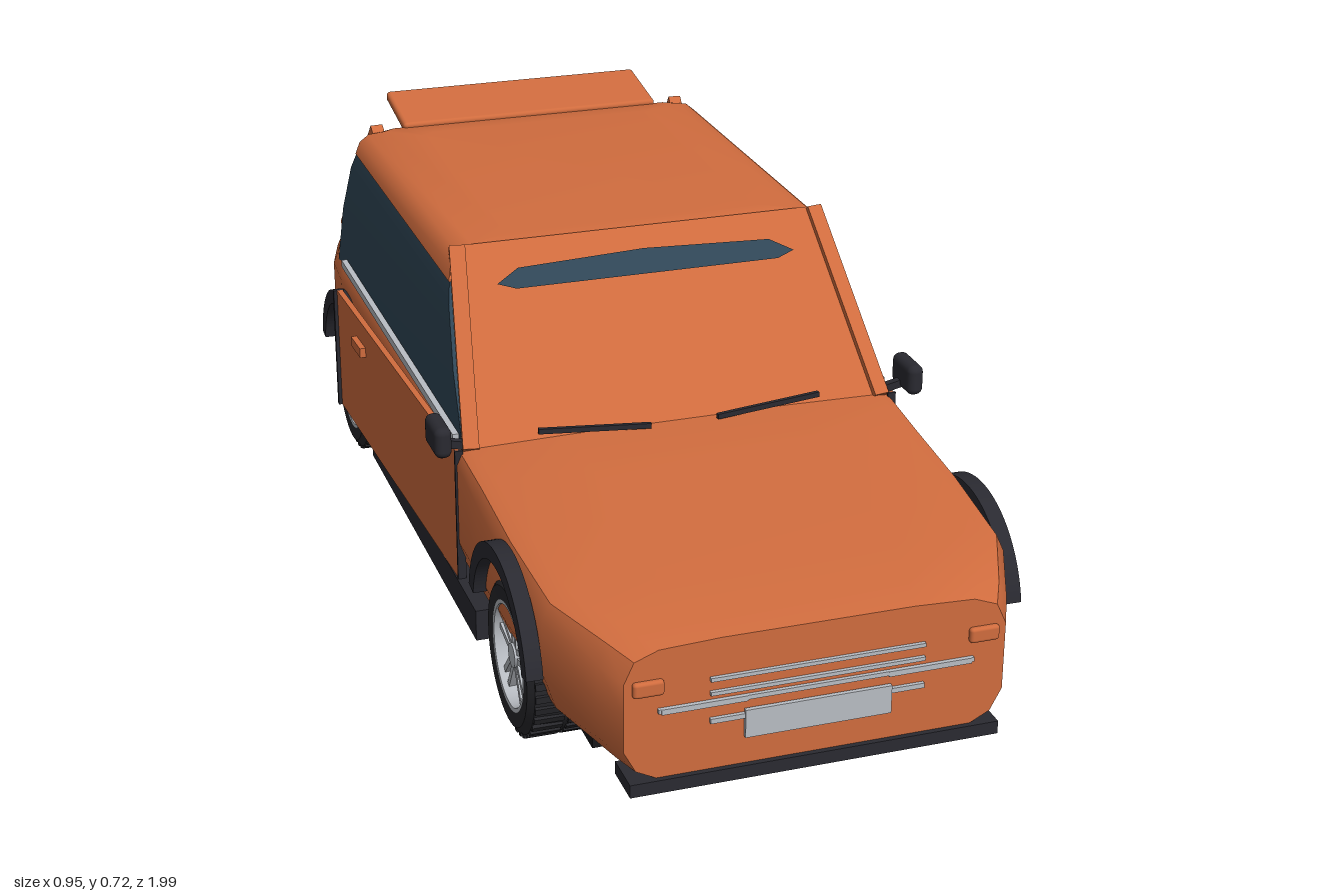
import * as THREE from 'three';
import { toCreasedNormals } from 'three/addons/utils/BufferGeometryUtils.js';
import { RoundedBoxGeometry } from 'three/addons/geometries/RoundedBoxGeometry.js';

function makeMaterial(name, color) {
  const m = new THREE.MeshStandardMaterial({ color, side: THREE.DoubleSide });
  m.name = name;
  return m;
}

export function createModel() {
  const car = new THREE.Group();
  car.name = 'car';
  const paint = makeMaterial('orange paint', 0xd06c3e);
  const glass = makeMaterial('blue glass', 0x2f4656);
  const trim = makeMaterial('dark trim', 0x2a2a31);
  const rubber = makeMaterial('tyre rubber', 0x27272b);
  const under = makeMaterial('underbody black', 0x18181b);
  const chrome = makeMaterial('bright metal', 0xb9bdc3);
  const steel = makeMaterial('brake steel', 0x6c6e74);

  const add = (name, geometry, material, parent = car) => {
    const mesh = new THREE.Mesh(geometry, material);
    mesh.name = name;
    parent.add(mesh);
    return mesh;
  };
  const box = (name, w, h, d, x, y, z, material, parent) => {
    const mesh = add(name, new THREE.BoxGeometry(w, h, d), material, parent);
    mesh.position.set(x, y, z);
    return mesh;
  };
  // Square bar between two points
  const beam = (name, a, b, w, h, material) => {
    const p = new THREE.Vector3(...a), q = new THREE.Vector3(...b);
    const mesh = add(name, new THREE.BoxGeometry(w, h, p.distanceTo(q)), material);
    mesh.position.copy(p).lerp(q, 0.5);
    mesh.lookAt(q);
    return mesh;
  };
  // Closed skin over rings of equal length, each counter-clockwise seen from the last ring
  const loft = (rings, crease = 0.5) => {
    const n = rings[0].length, last = (rings.length - 1) * n, index = [];
    for (let i = 0; i < rings.length - 1; i++) {
      for (let j = 0; j < n; j++) {
        const a = i * n + j, b = i * n + (j + 1) % n;
        index.push(a, b, b + n, a, b + n, a + n);
      }
    }
    for (let j = 1; j < n - 1; j++) index.push(0, j + 1, j, last, last + j, last + j + 1);
    const g = new THREE.BufferGeometry();
    g.setAttribute('position', new THREE.Float32BufferAttribute(rings.flat(2), 3));
    g.setIndex(index);
    return toCreasedNormals(g, crease);
  };

  // Lower body: sections along z as [z, half width, top, bottom, corner]
  const bodyRings = [
    [-0.99, 0.365, 0.38, 0.085, 0.035], [-0.93, 0.388, 0.39, 0.08, 0.035], [-0.82, 0.42, 0.392, 0.075, 0.035],
    [-0.7, 0.43, 0.392, 0.075, 0.03], [0.3, 0.43, 0.392, 0.075, 0.03], [0.42, 0.43, 0.385, 0.075, 0.04],
    [0.6, 0.43, 0.37, 0.075, 0.045], [0.8, 0.42, 0.352, 0.075, 0.05], [0.93, 0.365, 0.338, 0.08, 0.055],
    [0.985, 0.338, 0.328, 0.083, 0.06],
  ].map(([z, w, top, bottom, c]) => {
    const tuck = Math.max(0, w - 0.34) * 0.8;
    const right = [
      [w - c - tuck, bottom], [w - 0.35 * c - tuck * 0.7, bottom + 0.02], [w - tuck * 0.35, bottom + 0.06],
      [w, bottom + 0.13], [w, top - c], [w - 0.3 * c, top - 0.35 * c], [w - c, top - 0.08 * c], [w * 0.5, top],
    ];
    const left = right.map(([x, y]) => [-x, y]).reverse();
    return [...right, ...left].map(([x, y]) => [x, y, z]);
  });
  add('lowerBody', loft(bodyRings, 0.6), paint);

  // Cabin: sections up y as [y, half width, front z, quarter z, rear half width, rear z]
  const cabinRing = ([y, w, zf, zq, wr, zb]) => [
    [w, y, zf], [w, y, zq], [wr, y, zb], [-wr, y, zb], [-w, y, zq], [-w, y, zf],
  ];
  add('cabinGlass', loft([
    [0.375, 0.415, 0.28, -0.79, 0.355, -0.965], [0.5, 0.405, 0.18, -0.765, 0.35, -0.87],
    [0.6, 0.39, 0.1, -0.735, 0.34, -0.785], [0.65, 0.375, 0.055, -0.715, 0.33, -0.745],
  ].map(cabinRing)), glass);
  add('roof', loft([
    [0.636, 0.383, 0.078, -0.715, 0.335, -0.735], [0.662, 0.374, 0.056, -0.712, 0.332, -0.728],
    [0.678, 0.355, 0.043, -0.708, 0.325, -0.718], [0.687, 0.325, 0.03, -0.69, 0.3, -0.705],
    [0.692, 0.25, 0, -0.62, 0.23, -0.64],
  ].map(cabinRing), 0.6), paint);

  // Painted windscreen with a slim glass band
  const screenZ = y => 0.287 - (y - 0.39) * 0.833;
  const screenPlate = (points, lift) => {
    const g = new THREE.ShapeGeometry(new THREE.Shape(points.map(p => new THREE.Vector2(...p))));
    const p = g.attributes.position;
    for (let i = 0; i < p.count; i++) p.setZ(i, screenZ(p.getY(i)) + lift);
    g.computeVertexNormals();
    return g;
  };
  add('windscreenPanel', screenPlate([[-0.4, 0.385], [0.4, 0.385], [0.352, 0.69], [-0.352, 0.69]], 0), paint);
  add('windscreenBand', screenPlate([
    [-0.26, 0.617], [0.26, 0.617], [0.295, 0.627], [0.25, 0.648], [0, 0.656], [-0.25, 0.648], [-0.295, 0.627],
  ], 0.005), glass);

  // Rear spoiler, tail rail and bumpers
  const spoiler = add('rearSpoiler', new RoundedBoxGeometry(0.56, 0.022, 0.165, 2, 0.008), paint);
  spoiler.position.set(0, 0.699, -0.78);
  spoiler.rotation.x = 0.16;
  box('tailRail', 0.71, 0.022, 0.025, 0, 0.385, -0.984, paint);
  box('frontBumper', 0.66, 0.024, 0.08, 0, 0.073, 0.955, trim);
  box('rearBumper', 0.72, 0.028, 0.16, 0, 0.083, -0.915, trim);

  // Front grille, lamps and plates
  const face = 0.988;
  for (const y of [0.255, 0.229]) box('grilleBar', 0.38, 0.007, 0.008, 0, y, face, chrome);
  box('grilleMiddleBar', 0.56, 0.008, 0.008, 0, 0.212, face, chrome);
  for (const s of [-1, 1]) {
    box('grilleSideBar', 0.15, 0.01, 0.01, s * 0.2, 0.211, face, chrome);
    box('grilleLowerBar', 0.06, 0.009, 0.008, s * 0.16, 0.178, face, chrome);
    const lamp = add('frontLamp', new RoundedBoxGeometry(0.054, 0.028, 0.014, 2, 0.006), paint);
    lamp.position.set(s * 0.297, 0.257, face);
  }
  box('frontPlate', 0.26, 0.052, 0.008, 0, 0.164, 0.991, chrome);
  box('rearPlate', 0.26, 0.05, 0.008, 0, 0.175, -0.992, chrome);

  // Arch moulding, an extruded half ring facing +x
  const archShape = new THREE.Shape();
  archShape.absarc(0, 0, 0.19, 0.2, Math.PI - 0.2, false);
  archShape.absarc(0, 0, 0.16, Math.PI - 0.2, 0.2, true);
  const archGeometry = new THREE.ExtrudeGeometry(archShape, { depth: 0.03, bevelEnabled: false, curveSegments: 24 });
  archGeometry.translate(0, 0, -0.015).rotateY(Math.PI / 2);

  // Wheel parts, axle along x with the outer side at +x
  const lathe = points => new THREE.LatheGeometry(points.map(p => new THREE.Vector2(...p)), 40).rotateZ(-Math.PI / 2);
  const tyreGeometry = toCreasedNormals(lathe([
    [0.09, -0.066], [0.125, -0.068], [0.139, -0.058], [0.141, 0], [0.139, 0.058], [0.125, 0.068], [0.097, 0.066], [0.092, 0.045],
  ]), 0.6);
  const rimGeometry = toCreasedNormals(lathe([[0.088, -0.03], [0.088, 0.05], [0.092, 0.066], [0.1, 0.067]]), 0.6);
  const makeWheel = () => {
    const wheel = new THREE.Group();
    wheel.name = 'wheel';
    add('tyre', tyreGeometry, rubber, wheel);
    add('rim', rimGeometry, chrome, wheel);
    add('innerDisc', new THREE.CylinderGeometry(0.09, 0.09, 0.01, 32).rotateZ(Math.PI / 2), under, wheel);
    add('brakeDisc', new THREE.CylinderGeometry(0.062, 0.062, 0.02, 32).rotateZ(Math.PI / 2), steel, wheel);
    add('hub', new THREE.CylinderGeometry(0.022, 0.026, 0.06, 20).rotateZ(-Math.PI / 2), chrome, wheel).position.x = 0.03;
    for (let i = 0; i < 5; i++) {
      const spoke = new THREE.Group();
      spoke.name = 'spoke';
      spoke.rotation.x = i * Math.PI * 2 / 5;
      for (const s of [-1, 1]) box('spokeArm', 0.016, 0.078, 0.011, 0.048, 0.052, s * 0.011, chrome, spoke).rotation.x = s * 0.1;
      wheel.add(spoke);
    }
    for (let i = 0; i < 72; i++) {
      const a = i * Math.PI / 36, s = i % 2 ? 1 : -1;
      const block = box('treadBlock', 0.054, 0.008, 0.013, s * 0.031, Math.cos(a) * 0.141, Math.sin(a) * 0.141, rubber, wheel);
      block.rotation.x = a;
    }
    return wheel;
  };

  for (const s of [-1, 1]) {
    // Pillars, belt strip and sill
    beam('windscreenPillar', [s * 0.402, 0.385, 0.285], [s * 0.355, 0.685, 0.033], 0.03, 0.026, paint);
    beam('rearPillar', [s * 0.333, 0.685, -0.715], [s * 0.355, 0.385, -0.972], 0.026, 0.022, paint);
    box('beltStrip', 0.012, 0.016, 0.95, s * 0.421, 0.398, -0.225, chrome);
    box('sill', 0.055, 0.06, 0.84, s * 0.408, 0.1, 0, trim);

    // Door on a front hinge; the -x door stands slightly open
    const door = new THREE.Group();
    door.name = 'door';
    door.position.set(s * 0.426, 0, 0.285);
    if (s < 0) door.rotation.y = 0.04;
    box('doorPanel', 0.012, 0.26, 0.855, 0, 0.26, -0.4275, paint, door);
    box('doorRearSeal', 0.022, 0.26, 0.009, s * 0.002, 0.26, -0.857, trim, door);
    box('doorFrontSeal', 0.016, 0.26, 0.005, 0, 0.26, 0.002, trim, door);
    box('doorHandle', 0.018, 0.02, 0.07, s * 0.009, 0.336, -0.665, paint, door);
    car.add(door);

    // Mirror and wiper
    const mirror = add('mirror', new RoundedBoxGeometry(0.032, 0.06, 0.09, 3, 0.014), trim);
    mirror.position.set(s * 0.461, 0.422, 0.28);
    beam('mirrorArm', [s * 0.41, 0.395, 0.275], [s * 0.455, 0.405, 0.275], 0.015, 0.015, trim);
    beam('wiper', [s * 0.065, 0.4, 0.31], [s * 0.275, 0.408, 0.288], 0.008, 0.01, trim);

    // Wheels and arches
    for (const z of [0.63, -0.63]) {
      const wheel = makeWheel();
      wheel.position.set(s * 0.367, 0.15, z);
      if (s < 0) wheel.rotation.y = Math.PI;
      car.add(wheel);
      add('wheelArch', archGeometry, trim).position.set(s * 0.438, 0.165, z);
    }

    // Exhaust pipe with its angled bracket
    const path = new THREE.LineCurve3(new THREE.Vector3(s * 0.195, 0.023, 0.53), new THREE.Vector3(s * 0.195, 0.038, -0.93));
    add('exhaustPipe', new THREE.TubeGeometry(path, 1, 0.017, 14), trim);
    beam('pipeBracket', [s * 0.155, 0.035, 0.5], [s * 0.26, 0.062, 0.5], 0.02, 0.02, trim);
  }

  // Underside
  box('floorPlate', 0.68, 0.022, 1.64, 0, 0.068, 0, under);
  const tank = add('fuelTank', new RoundedBoxGeometry(0.3, 0.066, 0.32, 3, 0.02), trim);
  tank.position.set(-0.13, 0.038, -0.56);

  return car;
}
